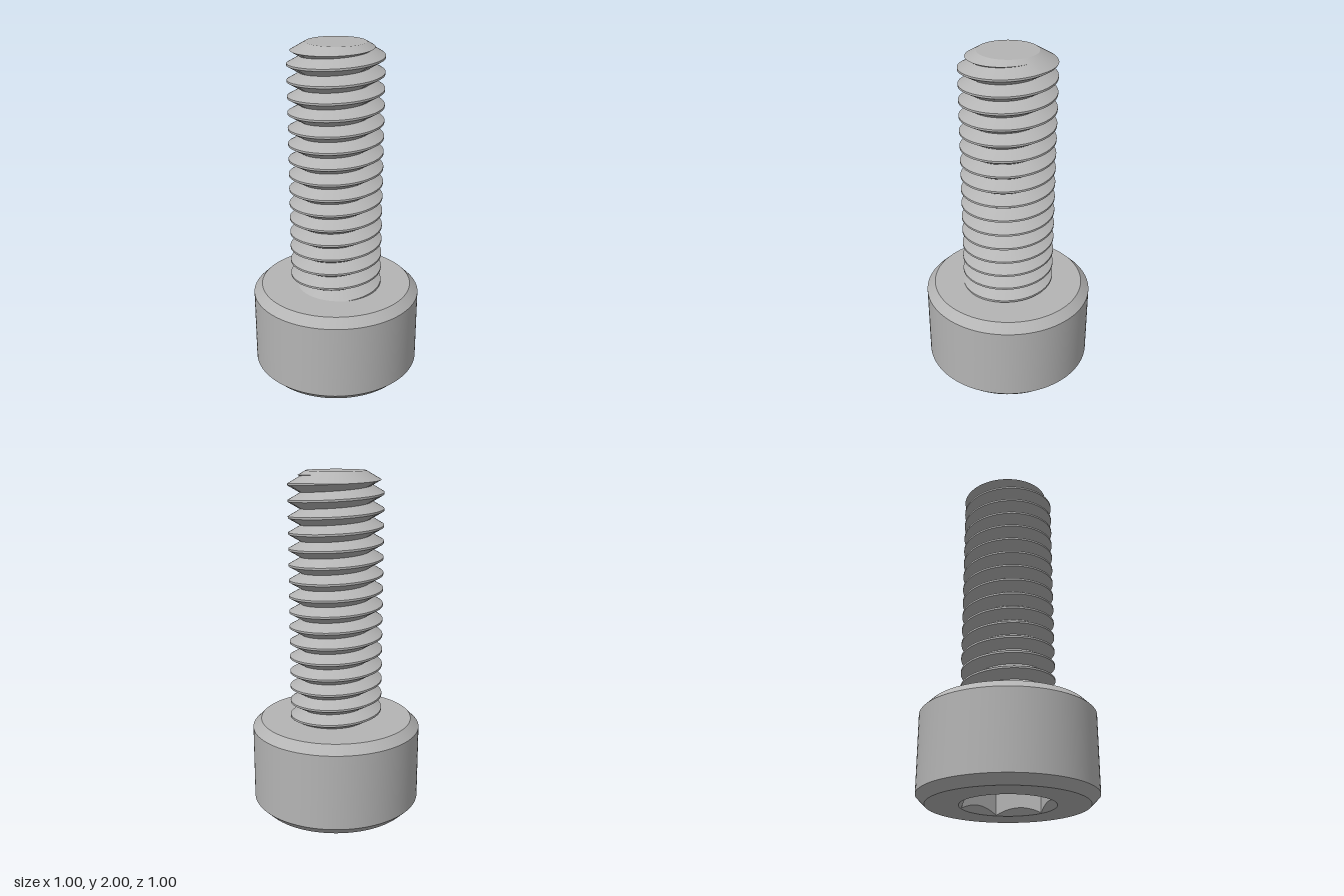
import * as THREE from 'three';
import { toCreasedNormals } from 'three/addons/utils/BufferGeometryUtils.js';

const SIDES = 96;
const HEAD_TOP = 0.545, TOP = 2;
const TIP_R = 0.17, TIP_SLOPE = Math.sqrt(3); // end chamfer: radius gained per unit of depth
const PITCH = 1 / 11, CREST_R = 0.2727, ROOT_R = 0.204;

// Skin a surface through profiles of [radius, y], one profile per angle
function sweep(profileAt) {
  const pos = [], index = [];
  let n = 0;
  for (let j = 0; j <= SIDES; j++) {
    const a = (j / SIDES) * Math.PI * 2;
    const profile = profileAt(a);
    n = profile.length;
    for (const [r, y] of profile) pos.push(r * Math.cos(a), y, -r * Math.sin(a));
  }
  for (let j = 0; j < SIDES; j++) {
    for (let i = 0; i < n - 1; i++) {
      const a = j * n + i, b = a + n;
      index.push(a, b, b + 1, a, b + 1, a + 1);
    }
  }
  const g = new THREE.BufferGeometry();
  g.setAttribute('position', new THREE.Float32BufferAttribute(pos, 3));
  g.setIndex(index);
  return toCreasedNormals(g, 0.5);
}

// Chamfered head with a countersunk hexagonal socket underneath
function headProfile(a) {
  const sector = Math.PI / 3;
  const hexR = 0.2273 / Math.cos((a % sector) - sector / 2);
  const mouthR = 0.266;
  return [
    [0, 0.25], [hexR, 0.25], [hexR, mouthR - hexR], [mouthR, 0],
    [0.45, 0], [0.5, 0.05], [0.5, HEAD_TOP - 0.05], [0.45, HEAD_TOP], [0, HEAD_TOP],
  ];
}

// Right-hand V thread, trimmed by the cone at the tip
function threadProfile(a) {
  const cone = (y) => TIP_R + (TOP - y) * TIP_SLOPE;
  const trimmed = (r, y) => {
    const cy = Math.min(y, TOP);
    return [Math.min(r, cone(cy)), cy];
  };
  const points = [];
  for (let k = 0; k < 19; k++) {
    const mid = 1.91 + (k - 16 + a / (Math.PI * 2)) * PITCH;
    const rootY = mid - PITCH / 2, lowY = mid - PITCH / 16, highY = mid + PITCH / 16;
    const root = trimmed(ROOT_R, rootY);
    let low = [CREST_R, lowY], high = [CREST_R, highY];
    const over = CREST_R - cone(lowY), rootOver = ROOT_R - cone(rootY);
    if (rootOver >= 0) {
      low = high = root;
    } else if (over > 0) {
      const t = over / (over - rootOver);
      low = high = [CREST_R + (ROOT_R - CREST_R) * t, lowY + (rootY - lowY) * t];
    } else if (CREST_R > cone(highY)) {
      high = [CREST_R, TOP - (CREST_R - TIP_R) / TIP_SLOPE];
    }
    points.push(root, low, high);
  }
  points.push([TIP_R, TOP], [0, TOP]);
  return points;
}

export function createModel() {
  const steel = new THREE.MeshStandardMaterial({ color: 0xb4b4b4 });
  steel.name = 'steel grey';
  const group = new THREE.Group();
  group.name = 'socketHeadScrew';

  const head = new THREE.Mesh(sweep(headProfile), steel);
  head.name = 'head';
  const shank = new THREE.Mesh(sweep(threadProfile), steel);
  shank.name = 'threadedShank';

  group.add(head, shank);
  return group;
}
